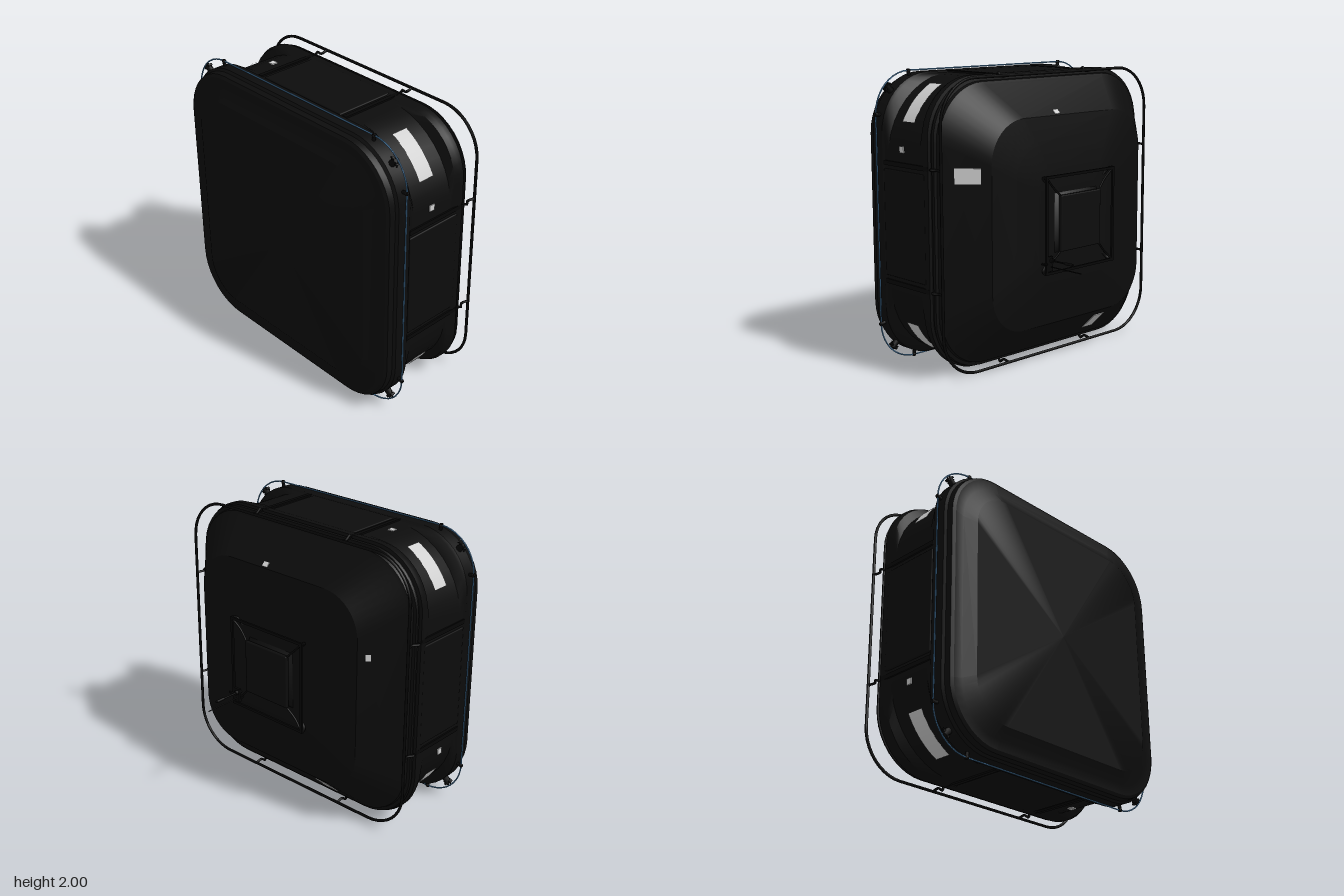
import * as THREE from 'three';
import { toCreasedNormals } from 'three/addons/utils/BufferGeometryUtils.js';
import { RoundedBoxGeometry } from 'three/addons/geometries/RoundedBoxGeometry.js';

const material = (name, color) => {
  const m = new THREE.MeshStandardMaterial({ color });
  m.name = name;
  return m;
};

// Rounded-square outline, counter-clockwise seen from the front
function outline(half, r, steps = 10) {
  const pts = [];
  for (let k = 0; k < 4; k++) {
    const mid = Math.PI / 4 + k * Math.PI / 2, c = (half - r) * Math.SQRT2;
    for (let i = 0; i <= steps; i++) {
      const a = k * Math.PI / 2 + (i / steps) * Math.PI / 2;
      pts.push([c * Math.cos(mid) + r * Math.cos(a), c * Math.sin(mid) + r * Math.sin(a)]);
    }
  }
  return pts;
}

// Skin through rounded-square rings [z, half, corner radius], front to back
function loft(rings, capped, crease = 0.5) {
  const pos = [], index = [];
  rings.forEach(([z, half, r]) => outline(half, r).forEach(([x, y]) => pos.push(x, y, z)));
  const n = pos.length / 3 / rings.length, last = (rings.length - 1) * n;
  for (let k = 0; k < rings.length - 1; k++) {
    for (let i = 0; i < n; i++) {
      const a = k * n + i, b = k * n + (i + 1) % n;
      index.push(a, a + n, b, b, a + n, b + n);
    }
  }
  if (capped) {
    const c = pos.length / 3;
    pos.push(0, 0, rings[0][0], 0, 0, rings[rings.length - 1][0]);
    for (let i = 0; i < n; i++) {
      const j = (i + 1) % n;
      index.push(c, i, j, c + 1, last + j, last + i);
    }
  }
  const g = new THREE.BufferGeometry();
  g.setAttribute('position', new THREE.Float32BufferAttribute(pos, 3));
  g.setIndex(index);
  return toCreasedNormals(g, crease);
}

// Closed round rail following a rounded square
function railGeometry(z, half, r, thick) {
  const rings = [];
  for (let i = 0; i <= 8; i++) {
    const a = (i / 8) * Math.PI * 2, s = thick * Math.sin(a);
    rings.push([z + thick * Math.cos(a), half + s, r + s]);
  }
  return loft(rings, false, 1.2);
}

export function createModel() {
  const shell = material('blackShell', 0x0c0c0c);
  const trim = material('darkTrim', 0x060606);
  const light = material('paleLight', 0xd0d0d0);
  const blue = material('blueWire', 0x4f86b5);

  const model = new THREE.Group();
  model.name = 'module';
  const core = new THREE.Group();
  core.name = 'moduleCore';
  core.position.y = 1;
  model.add(core);

  const add = (parent, name, geometry, mat, x = 0, y = 0, z = 0) => {
    const m = new THREE.Mesh(geometry, mat);
    m.name = name;
    m.position.set(x, y, z);
    parent.add(m);
    return m;
  };
  const tube = (parent, name, points, r, mat) => add(parent, name, new THREE.TubeGeometry(
    new THREE.CatmullRomCurve3(points.map(p => new THREE.Vector3(...p))), 10, r, 6), mat);

  // Main hull: bevelled front, recessed corners, grooved shoulder, sloping back
  add(core, 'hull', loft([
    [0.68, 0.79, 0.26], [0.635, 0.87, 0.31], [0.633, 0.935, 0.36], [0.62, 0.955, 0.38],
    [0.58, 0.96, 0.38], [0.565, 0.975, 0.39], [0.47, 0.975, 0.39], [0.455, 0.965, 0.39],
    [0.42, 0.965, 0.535], [0.1, 0.965, 0.535], [0.07, 0.965, 0.39], [0.04, 0.975, 0.39],
    [0, 0.975, 0.39], [-0.005, 0.955, 0.38], [-0.02, 0.955, 0.38], [-0.025, 0.965, 0.38],
    [-0.04, 0.96, 0.38], [-0.045, 0.94, 0.37], [-0.065, 0.935, 0.37], [-0.08, 0.915, 0.36],
    [-0.3, 0.705, 0.28], [-0.335, 0.52, 0.2], [-0.355, 0.34, 0.1], [-0.358, 0.3, 0.08],
  ], true), shell);

  // Wire round the front rim and guard rail round the back
  add(core, 'rimWire', railGeometry(0.515, 0.988, 0.28, 0.005), blue);
  add(core, 'guardRail', railGeometry(-0.122, 0.97, 0.29, 0.01), trim);

  // Four sides, each built facing +x and turned about z
  for (let k = 0; k < 4; k++) {
    const side = new THREE.Group();
    side.name = 'side' + (k + 1);
    side.rotation.z = k * Math.PI / 2;
    core.add(side);

    add(side, 'sidePanel', new RoundedBoxGeometry(0.02, 0.72, 0.42, 2, 0.008), shell, 0.965, 0, 0.25);
    add(side, 'statusLamp', new THREE.BoxGeometry(0.008, 0.042, 0.042), light, 0.968, 0.5, 0.272);

    for (const s of [-1, 1]) {
      add(side, 'panelRib', new THREE.BoxGeometry(0.02, 0.03, 0.46), trim, 0.966, s * 0.4, 0.235);
      // Rail bracket
      tube(side, 'railBracket', [[0.95, s * 0.4, -0.02], [0.985, s * 0.4, -0.03],
        [0.96, s * 0.4, -0.07], [0.97, s * 0.4, -0.122]], 0.009, trim);
      // Wire holder with its foot
      const holder = add(side, 'wireHolder', new THREE.CylinderGeometry(0.012, 0.012, 0.05, 8), trim, 0.973, s * 0.71, 0.515);
      holder.rotation.z = Math.PI / 2 + s * 0.2;
      add(side, 'wireClamp', new THREE.SphereGeometry(0.015, 8, 6), trim, 0.985, s * 0.71, 0.515);
    }

    // Curved corner window
    const a = 27 * Math.PI / 180;
    const window = new THREE.CylinderGeometry(0.541, 0.541, 0.12, 12, 1, true, a, Math.PI / 2 - 2 * a);
    add(side, 'cornerWindow', window.rotateX(-Math.PI / 2), light, 0.43, 0.43, 0.268);

    // Corner fitting with short prongs
    const fitting = new THREE.Group();
    fitting.name = 'cornerFitting';
    fitting.position.set(0.885, 0.885, 0.515);
    fitting.rotation.z = -Math.PI / 4;
    side.add(fitting);
    add(fitting, 'fittingPost', new THREE.CylinderGeometry(0.02, 0.024, 0.06, 8), trim, 0, -0.012, 0);
    add(fitting, 'fittingBar', new THREE.BoxGeometry(0.06, 0.015, 0.03), trim, 0, 0.006, 0);
    for (const s of [-1, 1]) {
      add(fitting, 'prong', new THREE.CylinderGeometry(0.004, 0.004, 0.05, 6), trim, s * 0.022, 0.006, 0).rotation.z = s * 0.6;
    }
  }

  // Flat lamps on the sloping back: [side turn, offset, z, width, length]
  for (const [turn, offset, z, width, length] of [
    [0, 0.36, -0.19, 0.1, 0.168], [3, -0.36, -0.19, 0.1, 0.168],
    [1, -0.11, -0.28, 0.045, 0.035], [2, -0.31, -0.25, 0.045, 0.035],
  ]) {
    const pivot = new THREE.Group();
    pivot.name = 'slopeLampMount';
    pivot.rotation.z = turn * Math.PI / 2;
    core.add(pivot);
    const radius = 0.915 + (z + 0.08) * 0.955;
    add(pivot, 'slopeLamp', new THREE.BoxGeometry(0.009, width, length), light, radius, offset, z)
      .rotation.y = Math.atan2(0.21, 0.22);
  }

  // Docking plate and frame on the back
  const base = add(core, 'dockingBase', new THREE.CylinderGeometry(0.25, 0.29, 0.035, 4, 1), shell, 0, 0, -0.37);
  base.geometry.rotateY(Math.PI / 4).rotateX(-Math.PI / 2);
  add(core, 'dockingPlate', new RoundedBoxGeometry(0.38, 0.38, 0.03, 2, 0.008), shell, 0, 0, -0.398);
  for (let k = 0; k < 4; k++) {
    const edge = new THREE.Group();
    edge.name = 'frameEdge' + (k + 1);
    edge.rotation.z = k * Math.PI / 2;
    core.add(edge);
    add(edge, 'frameBar', new THREE.BoxGeometry(0.018, 0.66, 0.014), trim, 0.32, 0, -0.403);
    tube(edge, 'frameLeg', [[0.27, 0.27, -0.35], [0.31, 0.31, -0.365], [0.325, 0.325, -0.403]], 0.011, trim);
    tube(edge, 'frameStay', [[0.19, 0.19, -0.4], [0.25, 0.25, -0.39], [0.32, 0.32, -0.403]], 0.007, trim);
  }

  // Aerials at the frame corner
  const rod = (name, r, y, z0, z1) => add(core, name,
    new THREE.CylinderGeometry(r, r, z0 - z1, 8).rotateX(Math.PI / 2), trim, 0.283, y, (z0 + z1) / 2);
  rod('shortAerial', 0.006, -0.232, -0.38, -0.61);
  rod('aerialTip', 0.01, -0.232, -0.54, -0.605);
  rod('aerialBase', 0.016, -0.232, -0.38, -0.43);
  rod('longAerial', 0.004, -0.276, -0.38, -0.68);
  add(core, 'aerialMount', new THREE.BoxGeometry(0.05, 0.1, 0.02), trim, 0.29, -0.255, -0.4);
  add(core, 'mooringRing', new THREE.TorusGeometry(0.018, 0.005, 6, 12), trim, 0.34, -0.25, -0.403).rotation.x = Math.PI / 2;

  return model;
}
